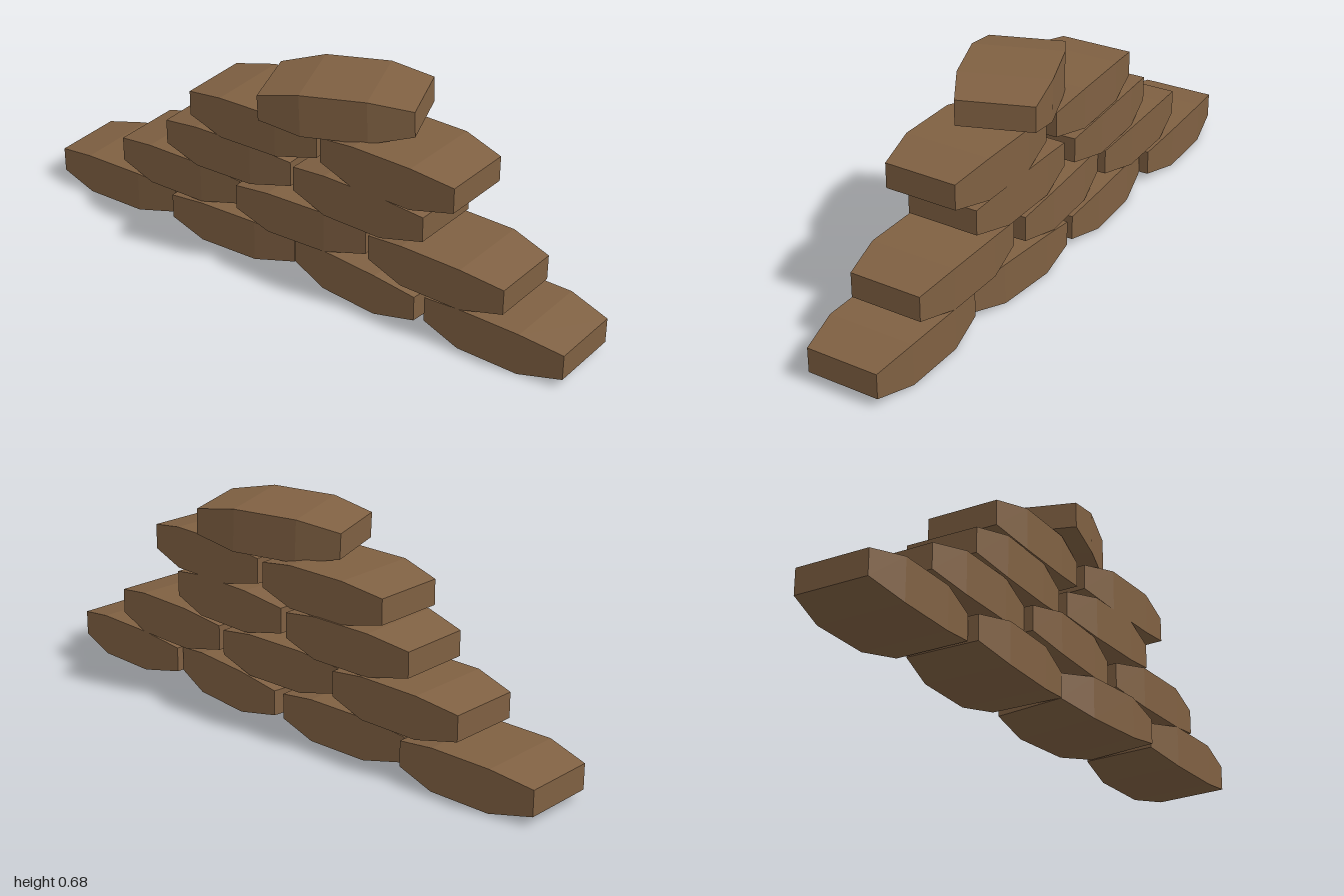
import * as THREE from 'three';

const LENGTH = 0.488, HEIGHT = 0.138, DEPTH = 0.29;

// Sandbag: a box cut in three along its length, narrowing to both ends
function sandbagGeometry() {
  const geometry = new THREE.BoxGeometry(LENGTH, HEIGHT, DEPTH, 3, 1, 1);
  const pos = geometry.attributes.position;
  for (let i = 0; i < pos.count; i++) {
    const x = pos.getX(i);
    if (Math.abs(x) > LENGTH * 0.4) {
      pos.setY(i, pos.getY(i) * 0.6);
      pos.setZ(i, pos.getZ(i) * 0.835);
    } else {
      pos.setX(i, Math.sign(x) * 0.105);
    }
  }
  geometry.computeVertexNormals();
  return geometry;
}

export function createModel() {
  const group = new THREE.Group();
  group.name = 'sandbagWall';
  const geometry = sandbagGeometry();
  const material = new THREE.MeshStandardMaterial({ color: 0x7f6042, flatShading: true });

  function addBag(name, x, y, yaw, tilt = 0) {
    const bag = new THREE.Mesh(geometry, material);
    bag.name = name;
    bag.position.set(x, y, 0);
    bag.rotation.set(0, yaw, tilt);
    group.add(bag);
  }

  // Stacked rows, bottom to top: [centre x, yaw] per bag
  const rows = [
    [[-0.75, 0.05], [-0.252, 0.065], [0.253, -0.08], [0.755, 0]],
    [[-0.467, 0.04], [0.025, 0.07], [0.543, 0]],
    [[-0.265, 0.06], [0.253, 0]],
    [[-0.16, 0.05], [0.358, 0]],
  ];
  rows.forEach((row, r) => row.forEach(([x, yaw], i) =>
    addBag(`row${r + 1}Sandbag${i + 1}`, x, 0.069 + r * 0.1365, yaw)));

  // Loose bag turned across the top
  addBag('topSandbag', 0.12, 0.607, 0.375, 0.035);
  return group;
}
